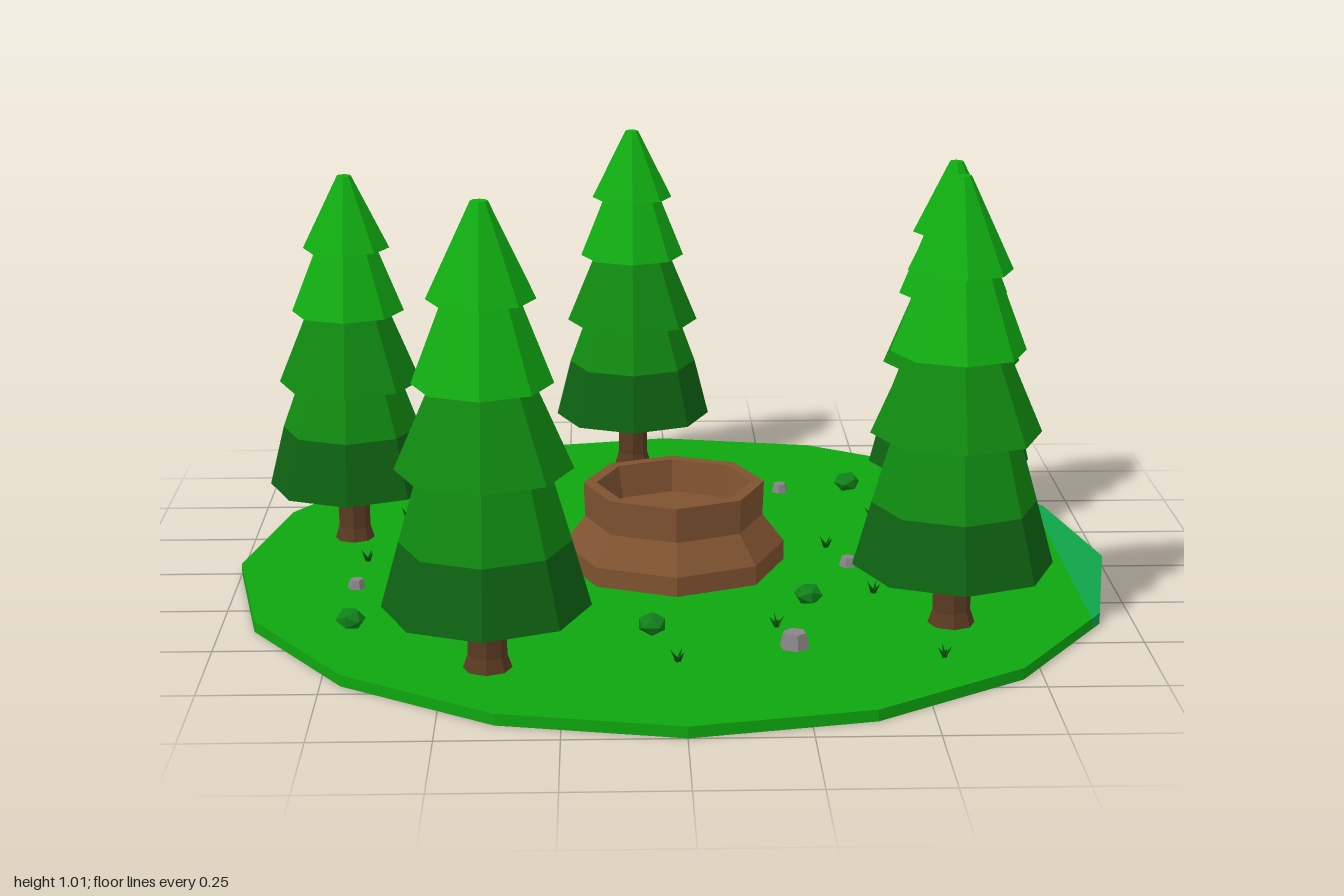
import * as THREE from 'three';

const mat = (name, color) => {
  const m = new THREE.MeshStandardMaterial({ color, flatShading: true });
  m.name = name;
  return m;
};
const M = {
  ground: mat('lawn green', 0x0fa60f),
  teal: mat('teal edge', 0x10a44a),
  bright: mat('bright foliage', 0x11ae12),
  mid: mat('middle foliage', 0x108a11),
  dark: mat('dark foliage', 0x0e6212),
  trunk: mat('bark brown', 0x5a3a22),
  stump: mat('warm brown', 0x7f5230),
  stone: mat('stone grey', 0x8a8488),
  bush: mat('bush green', 0x11801a),
  grass: mat('grass green', 0x0c560e),
};

const TOP = 0.025; // lawn height

function add(parent, name, geometry, material, x = 0, y = 0, z = 0) {
  const mesh = new THREE.Mesh(geometry, material);
  mesh.name = name;
  mesh.position.set(x, y, z);
  parent.add(mesh);
  return mesh;
}

// Eight-sided turned part; points run from bottom to top
const lathe = (pts) => new THREE.LatheGeometry(pts.map(([r, y]) => new THREE.Vector2(r, y)), 8);

function makeGround() {
  const g = new THREE.Group();
  g.name = 'ground';
  const base = 0.003, cut = 0.9, cutZ = 0.419;
  const slab = (pts) => {
    const shape = new THREE.Shape(pts.map(([x, z]) => new THREE.Vector2(x, z)));
    const geo = new THREE.ExtrudeGeometry(shape, { depth: TOP - base, bevelEnabled: false });
    return geo.rotateX(-Math.PI / 2);
  };
  const rim = [];
  for (let i = 2; i <= 14; i++) rim.push([Math.cos(i * Math.PI / 8), Math.sin(i * Math.PI / 8)]);
  add(g, 'lawn', slab([[cut, cutZ], ...rim, [cut, -cutZ]]), M.ground, 0, base);
  add(g, 'lawnEdge', slab([[cut, -cutZ], [0.924, -0.383], [1, 0], [0.924, 0.383], [cut, cutZ]]), M.teal, 0, base);
  add(g, 'lawnUnderside', new THREE.CylinderGeometry(1, 1, base, 16), M.ground, 0, base / 2);
  return g;
}

// Fir tree: flared trunk and four overlapping skirts in three greens
function makeTree(x, z, k, [y1, y2, y3, y4]) {
  const g = new THREE.Group();
  g.name = 'tree';
  g.position.set(x, 0, z);
  add(g, 'trunk', lathe([[0.046, TOP], [0.037, 0.055], [0.036, 0.2]].map(([r, y]) => [r * k, y])), M.trunk);
  const band = (name, pts, material) =>
    add(g, name, lathe(pts.map(([r, y]) => [r * k, y])), material);
  band('lowerFoliage', [[0, 0.16], [0.195, 0.16], [0.16, 0.3]], M.dark);
  band('middleFoliage', [[0.16, 0.3], [0.12, y1], [0.165, y1], [0.095, y2]], M.mid);
  band('upperFoliage', [[0.095, y2], [0.13, y2], [0.07, y3], [0.1, y3], [0.016, y4], [0, y4]], M.bright);
  return g;
}

// Hollow stump with a flared foot and a shallow bowl
function makeStump() {
  return add(new THREE.Group(), 'hollowStump', lathe([
    [0.255, TOP], [0.255, 0.07], [0.205, 0.135], [0.208, 0.215],
    [0.178, 0.215], [0.165, 0.14], [0, 0.14],
  ]), M.stump);
}

// Tuft of four leaning blades
function makeTuft(x, z, turn) {
  const g = new THREE.Group();
  g.name = 'grassTuft';
  g.position.set(x, TOP, z);
  for (let i = 0; i < 4; i++) {
    const blade = new THREE.ConeGeometry(0.006, 0.03, 3).translate(0, 0.015, 0);
    const mesh = add(g, 'blade', blade, M.grass);
    mesh.rotation.set(0, turn + i * 1.65, -0.6, 'YXZ');
  }
  return g;
}

export function createModel() {
  const model = new THREE.Group();
  model.name = 'forestClearing';
  model.add(makeGround(), makeStump());

  const tall = [0.455, 0.635, 0.81, 1.01], short = [0.41, 0.58, 0.73, 0.9];
  for (const [x, z] of [[-0.405, 0.67], [0.59, 0.43]]) model.add(makeTree(x, z, 1.115, tall));
  for (const [x, z] of [[-0.755, -0.19], [-0.085, -0.78], [0.68, -0.335]]) model.add(makeTree(x, z, 1, short));

  // Low round bushes
  [[-0.37, -0.52], [-0.57, -0.43], [-0.01, -0.41], [0.45, -0.53],
    [-0.44, 0.12], [0.29, 0.3], [-0.06, 0.48], [-0.71, 0.43]].forEach(([x, z], i) => {
    const bush = add(model, 'bush', new THREE.IcosahedronGeometry(0.033, 0), M.bush, x, 0.046, z);
    bush.scale.y = 0.75;
    bush.rotation.y = i * 1.3;
  });

  // Scattered stones
  [[-0.42, -0.37, 0.021], [0.28, -0.52, 0.021], [0.4, 0.05, 0.021], [0.66, -0.01, 0.021],
    [-0.72, 0.17, 0.02], [-0.23, 0.25, 0.033], [0.24, 0.57, 0.033]].forEach(([x, z, r], i) => {
    const stone = add(model, 'stone', new THREE.CylinderGeometry(r * 0.75, r, r, 6), M.stone, x, TOP + r / 2, z);
    stone.rotation.y = i * 0.9;
  });

  [[0.1, -0.61], [0.36, -0.08], [0.81, -0.06], [0.44, 0.24], [0.21, 0.45], [-0.01, 0.65], [0.55, 0.64],
    [-0.71, -0.01], [-0.08, -0.58], [-0.64, -0.33], [0.49, -0.31], [0.52, -0.21], [0.67, -0.53],
  ].forEach(([x, z], i) => model.add(makeTuft(x, z, i * 0.8)));

  return model;
}
